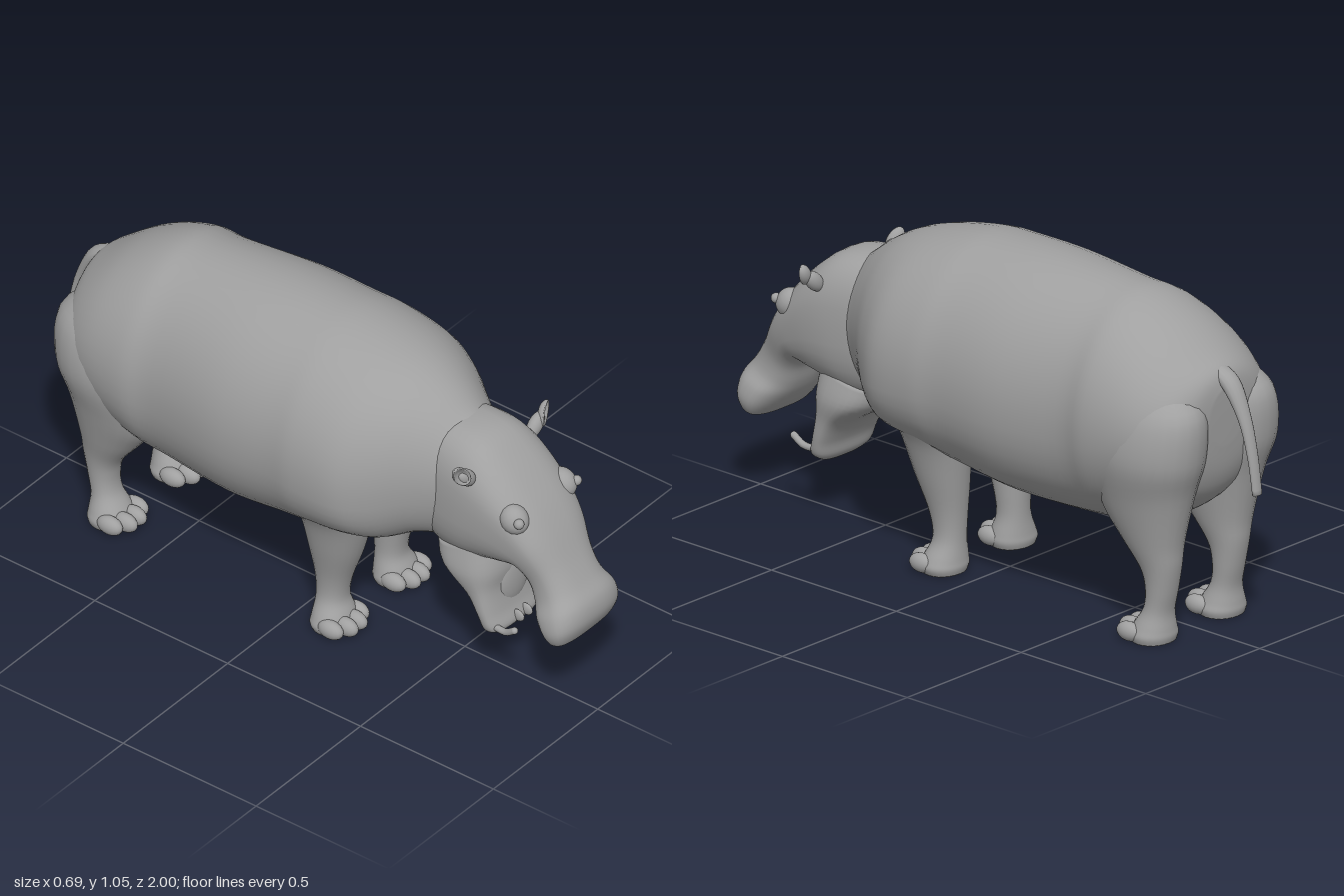
import * as THREE from 'three';

const hide = new THREE.MeshStandardMaterial({ color: 0xa0a0a0 });
hide.name = 'grey hide';

function add(parent, name, geometry) {
  const mesh = new THREE.Mesh(geometry, hide);
  mesh.name = name;
  parent.add(mesh);
  return mesh;
}

// Smooth value between section rows a..d
const blend = (a, b, c, d, t) =>
  0.5 * (2 * b + (c - a) * t + (2 * a - 5 * b + 4 * c - d) * t * t + (3 * b - a - 3 * c + d) * t * t * t);

// Skin through sections: [z, y of upper/front point, z, y of lower/back point,
// half width, widest fraction, x centre, squareness of the lower half]
function loft(rows, power = 2, side = 1, segs = 36, steps = 5) {
  const pos = [], idx = [], rings = [];
  const row = i => rows[Math.max(0, Math.min(rows.length - 1, i))];
  for (let i = 0; i < rows.length - 1; i++)
    for (let s = 0; s < steps; s++)
      rings.push(rows[0].map((_, k) => blend(row(i - 1)[k], row(i)[k], row(i + 1)[k], row(i + 2)[k], s / steps)));
  rings.push(row(rows.length - 1));
  const round = (v, p) => Math.sign(v) * Math.abs(v) ** (2 / p);
  for (const [zt, yt, zb, yb, w, f, xc = 0, low = power] of rings)
    for (let j = 0; j < segs; j++) {
      const a = (j / segs) * Math.PI * 2, p = j > segs / 2 ? low : power, v = round(Math.sin(a), p);
      const t = v > 0 ? f + (1 - f) * v : f + f * v;
      pos.push(xc * side + w * round(Math.cos(a), p), yb + (yt - yb) * t, zb + (zt - zb) * t);
    }
  const n = rings.length;
  for (let i = 0; i < n - 1; i++)
    for (let j = 0; j < segs; j++) {
      const k = (j + 1) % segs, a = i * segs, b = a + segs;
      idx.push(a + j, a + k, b + j, a + k, b + k, b + j);
    }
  // End caps
  for (const [ring, end] of [[rings[0], 0], [rings[n - 1], 1]]) {
    const [zt, yt, zb, yb, , f, xc = 0] = ring, c = pos.length / 3, o = end * (n - 1) * segs;
    pos.push(xc * side, yb + (yt - yb) * f, zb + (zt - zb) * f);
    for (let j = 0; j < segs; j++) {
      const k = (j + 1) % segs;
      if (end) idx.push(c, o + j, o + k);
      else idx.push(c, o + k, o + j);
    }
  }
  const g = new THREE.BufferGeometry();
  g.setAttribute('position', new THREE.Float32BufferAttribute(pos, 3));
  g.setIndex(idx);
  g.computeVertexNormals();
  return g;
}

function blob(parent, name, p, s, rot = [0, 0, 0]) {
  const m = add(parent, name, new THREE.SphereGeometry(1, 18, 12));
  m.position.set(...p);
  m.scale.set(...s);
  m.rotation.set(...rot);
  return m;
}

const BODY = [
  [-0.875, 0.80, -0.865, 0.62, 0.07, 0.5, 0, 2],
  [-0.86, 0.85, -0.85, 0.52, 0.165, 0.5, 0, 2],
  [-0.81, 0.893, -0.81, 0.44, 0.245, 0.5, 0, 2],
  [-0.70, 0.97, -0.72, 0.37, 0.293, 0.5, 0, 2],
  [-0.57, 1.027, -0.57, 0.325, 0.312, 0.48, 0, 2.1],
  [-0.45, 1.04, -0.45, 0.305, 0.30, 0.48, 0, 2.2],
  [-0.20, 1.055, -0.20, 0.305, 0.335, 0.47, 0, 2.2],
  [0.00, 1.055, 0.00, 0.33, 0.336, 0.46, 0, 2.2],
  [0.11, 1.048, 0.11, 0.37, 0.345, 0.43, 0, 2.4],
  [0.25, 1.02, 0.25, 0.40, 0.335, 0.41, 0, 2.6],
  [0.36, 0.985, 0.33, 0.405, 0.285, 0.42, 0, 2.6],
  [0.45, 0.935, 0.41, 0.435, 0.215, 0.45, 0, 2.4],
  [0.53, 0.875, 0.48, 0.44, 0.16, 0.5, 0, 2.2],
  [0.60, 0.845, 0.54, 0.46, 0.13, 0.5, 0, 2.2]];

const HEAD = [
  [0.40, 0.86, 0.40, 0.48, 0.12, 0.55],
  [0.50, 0.876, 0.46, 0.43, 0.15, 0.55],
  [0.62, 0.863, 0.55, 0.42, 0.165, 0.55],
  [0.71, 0.80, 0.64, 0.44, 0.165, 0.58],
  [0.80, 0.705, 0.71, 0.46, 0.154, 0.6],
  [0.86, 0.62, 0.765, 0.475, 0.14, 0.55],
  [0.915, 0.52, 0.80, 0.44, 0.118, 0.5],
  [0.955, 0.455, 0.82, 0.385, 0.12, 0.5],
  [0.99, 0.405, 0.84, 0.345, 0.144, 0.5],
  [0.998, 0.35, 0.87, 0.305, 0.15, 0.5],
  [0.98, 0.30, 0.90, 0.275, 0.132, 0.5],
  [0.965, 0.285, 0.915, 0.27, 0.10, 0.5]];

const JAW = [
  [0.69, 0.52, 0.45, 0.45, 0.13, 0.5],
  [0.70, 0.42, 0.48, 0.395, 0.148, 0.5],
  [0.69, 0.345, 0.58, 0.325, 0.138, 0.5],
  [0.70, 0.27, 0.625, 0.26, 0.132, 0.5],
  [0.715, 0.22, 0.64, 0.21, 0.12, 0.5],
  [0.70, 0.195, 0.66, 0.188, 0.085, 0.5]];

const TAIL = [
  [-0.80, 0.84, -0.81, 0.875, 0.03, 0.5],
  [-0.865, 0.80, -0.90, 0.835, 0.034, 0.5],
  [-0.925, 0.71, -0.955, 0.725, 0.024, 0.5],
  [-0.96, 0.60, -0.985, 0.605, 0.02, 0.5],
  [-0.98, 0.49, -1.00, 0.49, 0.019, 0.5]];

const FRONT_LEG = [
  [0.23, 0.78, 0.07, 0.78, 0.05, 0.5, 0.22],
  [0.285, 0.63, 0.03, 0.63, 0.095, 0.5, 0.222],
  [0.275, 0.52, 0.025, 0.50, 0.098, 0.5, 0.195],
  [0.262, 0.43, 0.03, 0.41, 0.086, 0.5, 0.166],
  [0.225, 0.31, 0.045, 0.30, 0.073, 0.5, 0.15],
  [0.178, 0.19, 0.06, 0.19, 0.056, 0.5, 0.14],
  [0.163, 0.11, 0.065, 0.11, 0.053, 0.5, 0.14],
  [0.18, 0.06, 0.062, 0.05, 0.072, 0.5, 0.147],
  [0.19, 0.03, 0.06, 0.025, 0.08, 0.5, 0.15],
  [0.185, 0.005, 0.065, 0.005, 0.072, 0.5, 0.15]];

const HIND_LEG = [
  [-0.63, 0.84, -0.80, 0.82, 0.05, 0.5, 0.14],
  [-0.55, 0.72, -0.885, 0.74, 0.12, 0.5, 0.15],
  [-0.51, 0.59, -0.888, 0.60, 0.14, 0.5, 0.157],
  [-0.53, 0.43, -0.85, 0.48, 0.113, 0.5, 0.152],
  [-0.60, 0.33, -0.815, 0.33, 0.082, 0.5, 0.15],
  [-0.675, 0.235, -0.805, 0.25, 0.06, 0.5, 0.148],
  [-0.695, 0.17, -0.79, 0.17, 0.052, 0.5, 0.147],
  [-0.69, 0.11, -0.775, 0.10, 0.052, 0.5, 0.148],
  [-0.66, 0.06, -0.778, 0.05, 0.068, 0.5, 0.15],
  [-0.645, 0.03, -0.78, 0.025, 0.078, 0.5, 0.15],
  [-0.65, 0.005, -0.775, 0.005, 0.072, 0.5, 0.15]];

function leg(name, rows, side, toeZ) {
  const g = new THREE.Group();
  g.name = name;
  add(g, 'limb', loft(rows, 2.1, side, 24));
  // Four rounded toes, the middle pair further forward
  [-0.062, -0.022, 0.022, 0.062].forEach((dx, i) => {
    const back = i === 0 || i === 3 ? 0.025 : 0;
    blob(g, 'toe', [side * 0.15 + dx, 0.034, toeZ - back], [0.026, 0.03, 0.045]);
  });
  return g;
}

function ear(side) {
  const g = new THREE.Group();
  g.name = 'ear';
  // Cupped shell: the front of a flat ellipsoid is pushed inward
  const shell = new THREE.SphereGeometry(1, 20, 14), p = shell.attributes.position;
  for (let i = 0; i < p.count; i++) if (p.getZ(i) > 0) p.setZ(i, p.getZ(i) * (1.1 - 1.6 * p.getZ(i)));
  shell.computeVertexNormals();
  const m = add(g, 'earShell', shell);
  m.scale.set(0.025, 0.04, 0.022);
  m.position.set(0.2, 0.818, 0.645);
  m.rotation.set(0, 0.4, -0.65);
  blob(g, 'earStalk', [0.165, 0.79, 0.635], [0.026, 0.045, 0.022], [0, 0, -0.8]);
  g.scale.x = side;
  return g;
}

export function createModel() {
  const model = new THREE.Group();
  model.name = 'hippopotamus';
  add(model, 'body', loft(BODY, 2, 1, 48));
  add(model, 'head', loft(HEAD, 2.6));
  add(model, 'lowerJaw', loft(JAW, 2.6));
  add(model, 'tail', loft(TAIL, 2, 1, 14));
  blob(model, 'tongue', [0, 0.36, 0.68], [0.07, 0.1, 0.025]);

  for (const side of [-1, 1]) {
    model.add(leg('frontLeg', FRONT_LEG, side, 0.186));
    model.add(leg('hindLeg', HIND_LEG, side, -0.645));
    model.add(ear(side));
    // Raised eyes and nostrils
    blob(model, 'brow', [side * 0.115, 0.672, 0.775], [0.042, 0.045, 0.05], [0.8, 0, 0]);
    blob(model, 'eye', [side * 0.138, 0.683, 0.812], [0.016, 0.016, 0.016]);
    blob(model, 'nostril', [side * 0.062, 0.42, 0.945], [0.026, 0.034, 0.022], [-0.6, 0, 0]);
    // Curved lower tusk and front teeth
    const path = new THREE.CatmullRomCurve3([[0.1, 0.225, 0.69], [0.104, 0.228, 0.735], [0.106, 0.25, 0.77]]
      .map(([x, y, z]) => new THREE.Vector3(side * x, y, z)));
    add(model, 'tusk', new THREE.TubeGeometry(path, 8, 0.011, 10));
    blob(model, 'tuskTip', [side * 0.106, 0.25, 0.77], [0.011, 0.011, 0.011]);
    blob(model, 'incisor', [side * 0.02, 0.232, 0.715], [0.009, 0.02, 0.024]);
  }
  return model;
}
